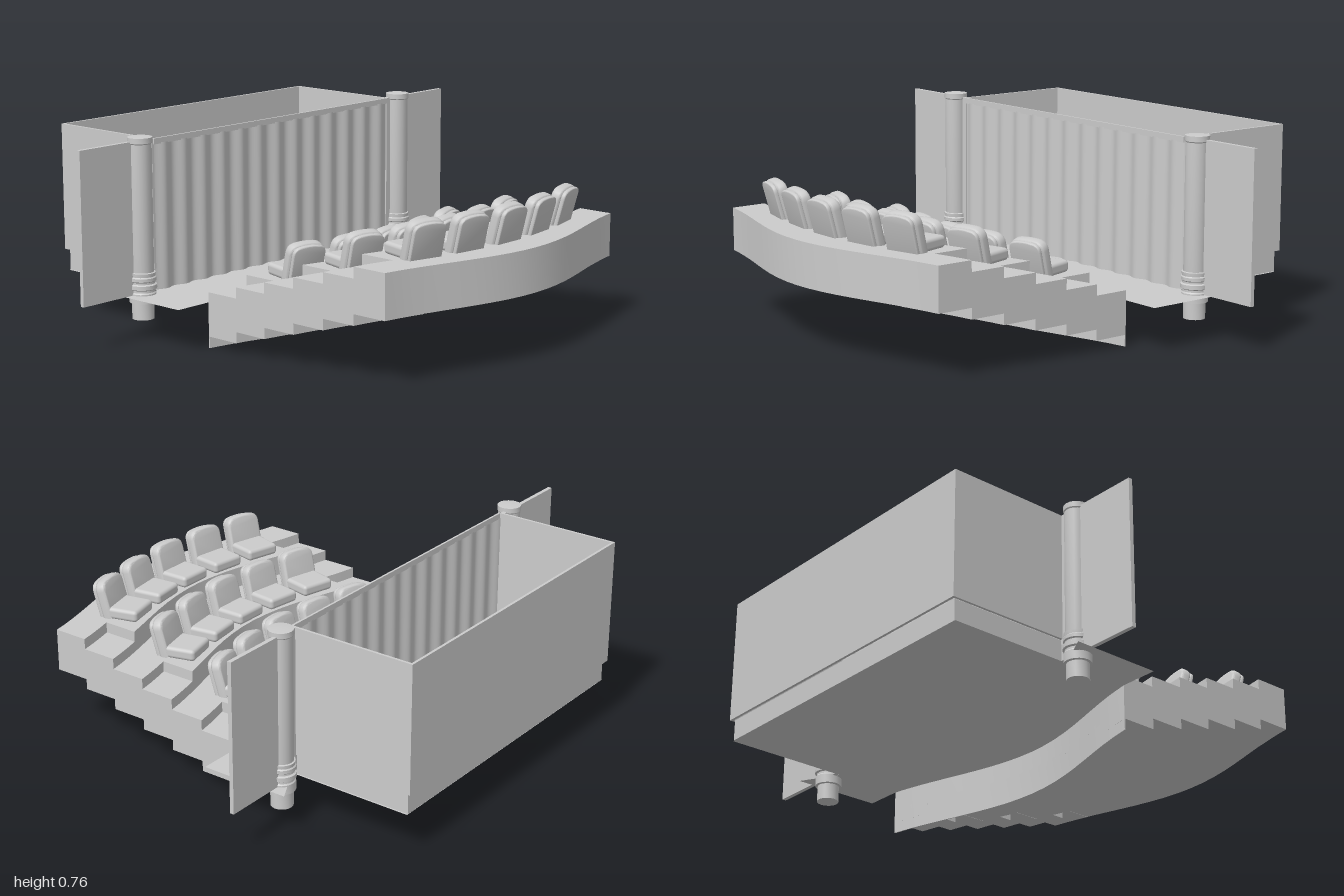
import * as THREE from 'three';
import { RoundedBoxGeometry } from 'three/addons/geometries/RoundedBoxGeometry.js';
import { toCreasedNormals } from 'three/addons/utils/BufferGeometryUtils.js';

const HALF = 0.65, AISLE = 0.49, FRONT = -0.105, STEP = 0.14, RISE = 0.041;
const solid = new THREE.MeshStandardMaterial({ color: 0xcccccc });
const sheet = new THREE.MeshStandardMaterial({ color: 0xcccccc, side: THREE.DoubleSide });

function add(parent, name, geometry, x = 0, y = 0, z = 0, material = solid) {
  const mesh = new THREE.Mesh(geometry, material);
  mesh.name = name;
  mesh.position.set(x, y, z);
  parent.add(mesh);
  return mesh;
}

// box given by its limits
function block(parent, name, x0, x1, y0, y1, z0, z1) {
  return add(parent, name, new THREE.BoxGeometry(x1 - x0, y1 - y0, z1 - z0),
    (x0 + x1) / 2, (y0 + y1) / 2, (z0 + z1) / 2);
}

// how far a curved riser bulges backwards at a given z
function bulge(z) {
  const u = Math.abs(z) / HALF;
  return 0.14 * (0.5 * Math.cos(Math.PI * u / 2) + 0.25 * (1 + Math.cos(Math.PI * u)));
}

function arc(offset, z0, z1) {
  const n = Math.max(3, Math.round(Math.abs(z1 - z0) * 14)), points = [];
  for (let i = 0; i <= n; i++) {
    const z = z0 + (z1 - z0) * i / n;
    points.push(new THREE.Vector2(offset + bulge(z), -z));
  }
  return points;
}

// slab between two curved risers
function tread(parent, name, a, b, y0, y1, z0, z1) {
  const shape = new THREE.Shape([...arc(a, z0, z1), ...arc(b, z1, z0)]);
  const geo = new THREE.ExtrudeGeometry(shape, { depth: y1 - y0, bevelEnabled: false });
  geo.rotateX(-Math.PI / 2);
  add(parent, name, toCreasedNormals(geo, 0.3), 0, y0, 0);
}

// backrest panel with rounded top, standing in the y-z plane
function backPanel(width, height, depth, bevel) {
  const w = width / 2 - bevel, h = height - bevel, r = 0.03;
  const s = new THREE.Shape();
  s.moveTo(-w, bevel);
  s.lineTo(w, bevel);
  s.lineTo(w, h - r);
  s.quadraticCurveTo(w, h - 0.004, w - r, h - 0.002);
  s.quadraticCurveTo(0, h + 0.002, -w + r, h - 0.002);
  s.quadraticCurveTo(-w, h - 0.004, -w, h - r);
  s.closePath();
  const geo = new THREE.ExtrudeGeometry(s, {
    depth: depth - 2 * bevel, bevelThickness: bevel, bevelSize: bevel, bevelSegments: 3, curveSegments: 5,
  });
  geo.translate(0, 0, bevel);
  geo.rotateY(Math.PI / 2);
  return toCreasedNormals(geo, 0.7);
}

function createSeating() {
  const seating = new THREE.Group();
  seating.name = 'seating';
  // three wide platforms
  for (let r = 0; r < 3; r++) {
    const a = FRONT + 2 * STEP * r, y = 2 * RISE * r;
    tread(seating, 'seatPlatform', a, a + 2 * STEP, 0.085 + y, 0.249 + y, -AISLE, AISLE);
  }
  // half-height steps in both aisles
  for (const s of [-1, 1]) {
    for (let i = 0; i < 6; i++) {
      const a = FRONT + STEP * i, y = RISE * i;
      tread(seating, 'aisleStep', a, a + STEP, 0.043 + y, 0.208 + y, s * AISLE, s * HALF);
    }
  }
  // lip hanging under the lowest riser
  tread(seating, 'frontLip', FRONT, FRONT + 0.004, 0, 0.1, -HALF, HALF);

  const cushion = new RoundedBoxGeometry(0.14, 0.045, 0.148, 3, 0.014);
  const pos = cushion.attributes.position;
  for (let i = 0; i < pos.count; i++) { // slightly narrower at the front
    pos.setZ(i, pos.getZ(i) * (0.97 + 0.4 * pos.getX(i)));
  }
  const pad = backPanel(0.15, 0.147, 0.04, 0.01);
  const shell = backPanel(0.136, 0.142, 0.016, 0.004);

  // z, x of the seat centre in the first row, and turn towards the stage
  const places = [[-0.385, 0.087, 14], [-0.195, 0.122, 8], [0, 0.138, 0], [0.195, 0.122, -8], [0.385, 0.087, -14]];
  for (let r = 0; r < 3; r++) {
    for (const [z, x, turn] of places) {
      const seat = new THREE.Group();
      seat.name = 'seat';
      seat.position.set(x + 2 * STEP * r, 0.249 + 2 * RISE * r, z);
      seat.rotation.y = THREE.MathUtils.degToRad(turn);
      add(seat, 'cushion', cushion, -0.028, 0.0215, 0);
      add(seat, 'backPad', pad, 0.002, 0.003, 0).rotation.z = -0.26;
      add(seat, 'backShell', shell, 0.04, -0.004, 0).rotation.z = -0.26;
      seating.add(seat);
    }
  }
  return seating;
}

function createStage() {
  const stage = new THREE.Group();
  stage.name = 'stage';
  // flat floor that meets the curved front riser
  const outline = [
    [-0.865, HALF], [-0.375, HALF], [-0.457, 0.8], [FRONT, 0.8],
  ].map(([x, y]) => new THREE.Vector2(x, y));
  const mirrored = outline.map((p) => new THREE.Vector2(p.x, -p.y)).reverse();
  const floor = new THREE.ShapeGeometry(new THREE.Shape([...outline, ...arc(FRONT, -HALF, HALF), ...mirrored]));
  floor.rotateX(-Math.PI / 2);
  add(stage, 'floor', floor, 0, 0.17, 0, sheet);

  // stage base and open-topped house
  block(stage, 'stageBase', -0.865, -0.39, 0.171, 0.252, -0.645, 0.645);
  block(stage, 'backWall', -0.88, -0.87, 0.252, 0.738, -0.657, 0.657);
  for (const s of [-1, 1]) {
    block(stage, 'sideWall', -0.88, -0.38, 0.252, 0.738, s * 0.652 - 0.005, s * 0.652 + 0.005);
    block(stage, 'wingWall', -0.398, -0.382, 0.17, 0.738, s * 0.825 - 0.175, s * 0.825 + 0.175);
  }

  // pleated curtain under a thin rail
  const curtain = new THREE.PlaneGeometry(1.3, 0.55, 156, 1);
  curtain.rotateY(Math.PI / 2);
  const p = curtain.attributes.position;
  for (let i = 0; i < p.count; i++) {
    p.setX(i, 0.007 * Math.cos(p.getZ(i) / 1.3 * Math.PI * 2 * 13));
  }
  curtain.computeVertexNormals();
  add(stage, 'curtain', curtain, -0.379, 0.445, 0, sheet);
  block(stage, 'curtainRail', -0.383, -0.375, 0.716, 0.738, -HALF, HALF);

  // columns with ringed bases
  const profile = [
    [0, 0.077], [0.041, 0.077], [0.041, 0.138], [0.05, 0.14], [0.05, 0.175], [0.046, 0.18], [0.046, 0.188],
    [0.053, 0.192], [0.053, 0.207], [0.046, 0.211], [0.046, 0.218], [0.051, 0.222], [0.051, 0.234],
    [0.047, 0.238], [0.049, 0.252], [0.043, 0.254], [0.043, 0.728], [0.046, 0.732], [0.046, 0.752], [0, 0.756],
  ].map(([r, y]) => new THREE.Vector2(r, y));
  const column = toCreasedNormals(new THREE.LatheGeometry(profile, 20), 0.6);
  for (const s of [-1, 1]) add(stage, 'column', column, -0.381, 0, s * 0.715);
  return stage;
}

export function createModel() {
  const model = new THREE.Group();
  model.name = 'theatre';
  model.add(createStage(), createSeating());
  return model;
}
